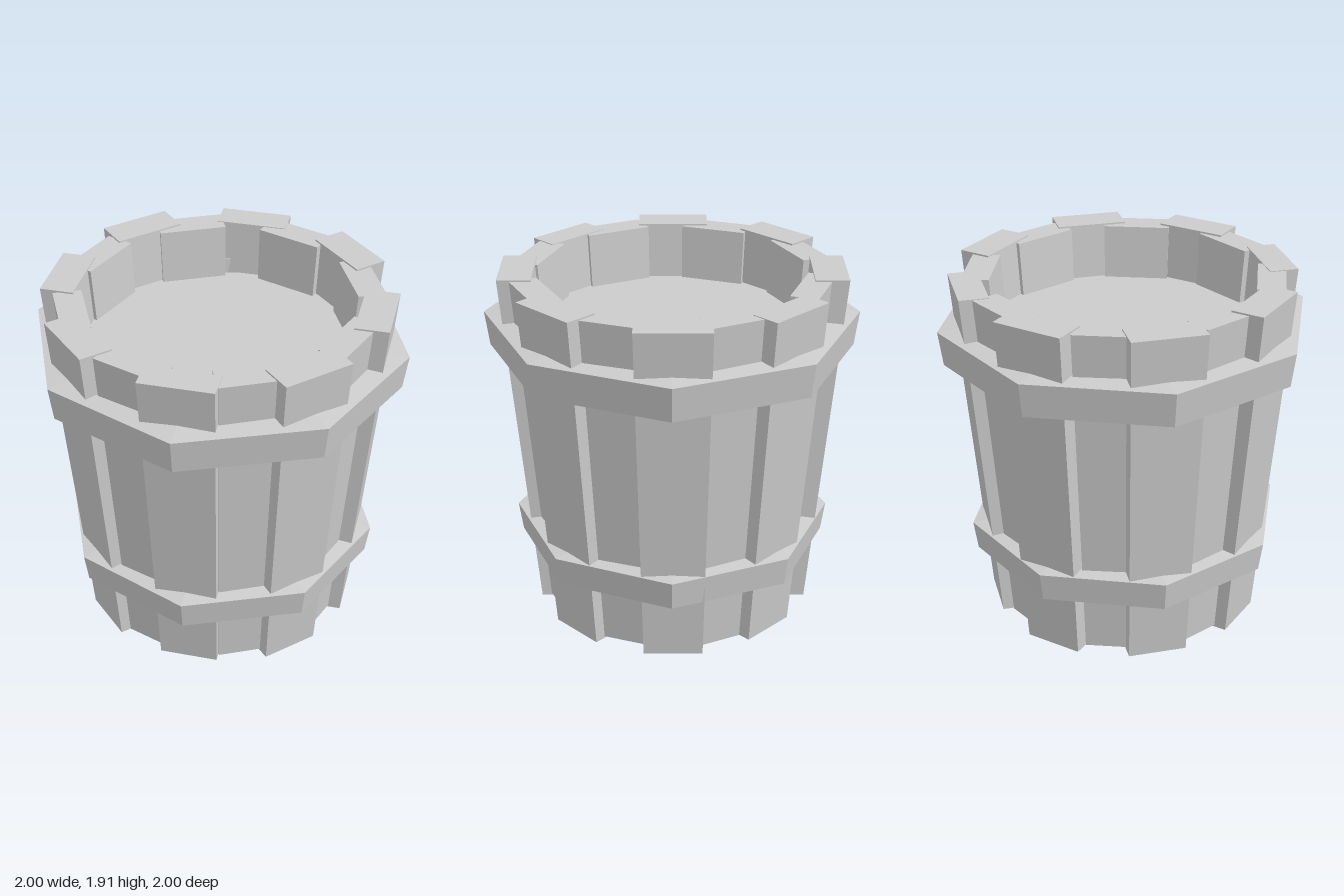
import * as THREE from 'three';

const material = new THREE.MeshStandardMaterial({ color: 0xcccccc, flatShading: true });
const FOOT_SCALE = 0.82; // the bucket narrows to this fraction at its foot
const RECESS_TURN = 0.053; // the recessed staves sit slightly off the halfway angle

function part(name, geometry) {
  const mesh = new THREE.Mesh(geometry, material);
  mesh.name = name;
  return mesh;
}

// Plank facing +z, tapering in width and leaning inwards towards the foot
function staveGeometry(inner, outer, width, bottom, top) {
  const geo = new THREE.BoxGeometry(width, top - bottom, outer - inner);
  geo.translate(0, (top + bottom) / 2, (inner + outer) / 2);
  const pos = geo.attributes.position;
  for (let i = 0; i < pos.count; i++) {
    const s = pos.getY(i) > 1 ? 1 : FOOT_SCALE;
    pos.setXYZ(i, pos.getX(i) * s, pos.getY(i), pos.getZ(i) * s);
  }
  geo.computeVertexNormals();
  return geo;
}

// Eight-sided hoop whose top and underside slope, so it is taller on its inside
function hoopGeometry(inner, outerBottom, outerTop, bottom, top) {
  const profile = [
    [inner, bottom - 0.02], [outerBottom, bottom], [outerTop, top],
    [inner, top + 0.025], [inner, bottom - 0.02],
  ].map(([r, y]) => new THREE.Vector2(r, y));
  return new THREE.LatheGeometry(profile, 8).toNonIndexed();
}

export function createModel() {
  const bucket = new THREE.Group();
  bucket.name = 'bucket';

  // Proud staves; the front and back ones are a little thinner
  const thick = staveGeometry(0.73, 0.908, 0.385, 0, 1.915);
  const thin = staveGeometry(0.742, 0.898, 0.385, 0.012, 1.91);
  const proudStaves = new THREE.Group();
  proudStaves.name = 'proudStaves';
  proudStaves.position.z = -0.008;
  for (let i = 0; i < 8; i++) {
    const stave = part('proudStave', i % 4 ? thick : thin);
    stave.rotation.y = (i * Math.PI) / 4;
    proudStaves.add(stave);
  }
  bucket.add(proudStaves);

  // Recessed staves between them
  const recessed = staveGeometry(0.69, 0.84, 0.365, 0.01, 1.906);
  const recessedStaves = new THREE.Group();
  recessedStaves.name = 'recessedStaves';
  for (let i = 0; i < 8; i++) {
    const stave = part('recessedStave', recessed);
    stave.rotation.y = ((i + 0.5) * Math.PI) / 4 + RECESS_TURN;
    recessedStaves.add(stave);
  }
  bucket.add(recessedStaves);

  // Hoops with their corners over the proud staves
  bucket.add(part('upperHoop', hoopGeometry(0.78, 0.975, 1, 1.48, 1.667)));
  bucket.add(part('lowerHoop', hoopGeometry(0.67, 0.845, 0.868, 0.345, 0.506)));

  // Flat surface filling the bucket just below the rim
  const fill = part('fillSurface', new THREE.CylinderGeometry(0.74, 0.74, 0.02, 16));
  fill.position.y = 1.6;
  bucket.add(fill);

  return bucket;
}
